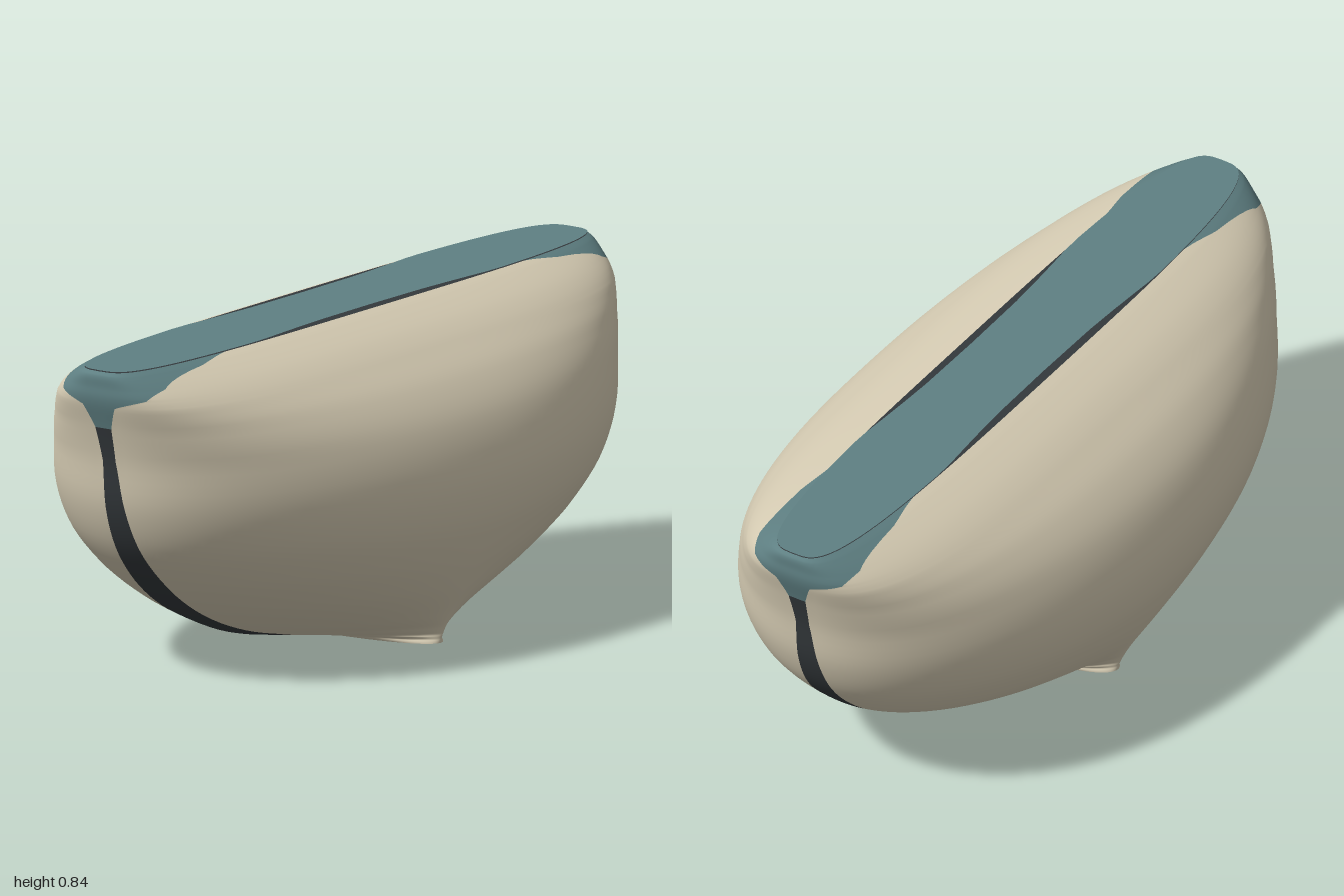
import * as THREE from 'three';

const mat = (name, color, side = THREE.FrontSide) => {
  const m = new THREE.MeshStandardMaterial({ color, side });
  m.name = name;
  return m;
};

// Horizontal sections: height, half width, half depth, superellipse power, half width of end strip
const KEYS = [
  [0.000, 0.09, 0.330, 2.0, 0.062],
  [0.010, 0.12, 0.331, 1.5, 0.062],
  [0.022, 0.24, 0.335, 1.1, 0.061],
  [0.045, 0.37, 0.345, 1.1, 0.060],
  [0.090, 0.52, 0.368, 1.35, 0.058],
  [0.166, 0.67, 0.412, 1.7, 0.054],
  [0.255, 0.785, 0.456, 1.95, 0.048],
  [0.360, 0.875, 0.492, 2.1, 0.038],
  [0.470, 0.925, 0.497, 2.2, 0.030],
  [0.600, 0.950, 0.456, 2.35, 0.020],
  [0.690, 0.975, 0.388, 2.6, 0.025],
  [0.750, 0.995, 0.313, 3.0, 0.050],
  [0.775, 1.000, 0.277, 3.1, 0.130],
  [0.800, 1.000, 0.232, 3.2, 0.150],
  [0.830, 1.000, 0.160, 3.4, 0.140],
  [0.840, 0.992, 0.130, 3.5, 0.122],
];
const STEPS = 5;
const SPLIT = 10; // key where the end strip changes from dark to teal
const curve = new THREE.CatmullRomCurve3(KEYS.map(k => new THREE.Vector3(k[0], k[1], k[2])));

// Smooth rings between the key sections
const rings = [];
for (let i = 0; i <= (KEYS.length - 1) * STEPS; i++) {
  const k = Math.min(Math.floor(i / STEPS), KEYS.length - 2);
  const f = i / STEPS - k;
  const p = curve.getPoint(i / ((KEYS.length - 1) * STEPS));
  const n = THREE.MathUtils.lerp(KEYS[k][3], KEYS[k + 1][3], f);
  const strip = THREE.MathUtils.lerp(KEYS[k][4], KEYS[k + 1][4], f);
  rings.push({ y: p.x, a: p.y, b: p.z, n, t: Math.asin(Math.pow(strip / p.z, n / 2)) });
}

const spow = (v, e) => Math.sign(v) * Math.pow(Math.abs(v), e);
const ringPoint = (r, t) => [r.a * spow(Math.cos(t), 2 / r.n), r.y, r.b * spow(Math.sin(t), 2 / r.n)];

// Skin over a range of rings, between two angles given per ring
function loft(part, from, to, segs) {
  const pos = [], index = [];
  part.forEach(r => {
    for (let j = 0; j <= segs; j++) {
      pos.push(...ringPoint(r, THREE.MathUtils.lerp(from(r), to(r), j / segs)));
    }
  });
  const w = segs + 1;
  for (let i = 0; i < part.length - 1; i++) {
    for (let j = 0; j < segs; j++) {
      const p = i * w + j;
      index.push(p, p + w, p + 1, p + 1, p + w, p + w + 1);
    }
  }
  const g = new THREE.BufferGeometry();
  g.setAttribute('position', new THREE.Float32BufferAttribute(pos, 3));
  g.setIndex(index);
  g.computeVertexNormals();
  return g;
}

export function createModel() {
  const group = new THREE.Group();
  const cream = mat('cream', 0xd9cfb6, THREE.DoubleSide);
  const teal = mat('teal', 0x5f8083, THREE.DoubleSide);
  const dark = mat('charcoal', 0x34393c, THREE.DoubleSide);
  const add = (name, geometry, material) => {
    const m = new THREE.Mesh(geometry, material);
    m.name = name;
    group.add(m);
    return m;
  };

  // Two bulging sides, and a strip up each end
  const lower = rings.slice(0, SPLIT * STEPS + 1), upper = rings.slice(SPLIT * STEPS);
  for (const [side, turn] of [['front', 0], ['back', Math.PI]]) {
    add(side + 'Shell', loft(rings, r => turn + r.t, r => turn + Math.PI - r.t, 72), cream);
  }
  for (const [side, turn] of [['left', 0], ['right', Math.PI]]) {
    add(side + 'Seam', loft(lower, r => turn - r.t, r => turn + r.t, 12), dark);
    add(side + 'BandEnd', loft(upper, r => turn - r.t, r => turn + r.t, 24), teal);
  }

  // Flat faces closing the foot and the top
  const flat = (points, y) => {
    const g = new THREE.ShapeGeometry(new THREE.Shape(points.map(p => new THREE.Vector2(p[0], -p[1]))));
    return g.rotateX(-Math.PI / 2).translate(0, y, 0);
  };
  const outline = r => Array.from({ length: 96 }, (_, i) => {
    const p = ringPoint(r, -i / 96 * Math.PI * 2);
    return [p[0], p[2]];
  });
  const top = rings[rings.length - 1];
  const sole = flat(outline(rings[0]).map(p => [p[0], p[1]]), 0);
  sole.rotateX(Math.PI);
  add('footSole', sole, cream);
  add('topGroove', flat(outline(top), top.y), dark);

  // Teal band along the top, narrower in the middle
  const band = outline(top).map(([x, z]) => {
    const w = 0.108 + 0.04 * THREE.MathUtils.smoothstep(Math.abs(x), 0.1, 0.9);
    return [x, THREE.MathUtils.clamp(z, -w, w)];
  });
  add('topBand', flat(band, top.y + 0.003), teal);
  return group;
}
